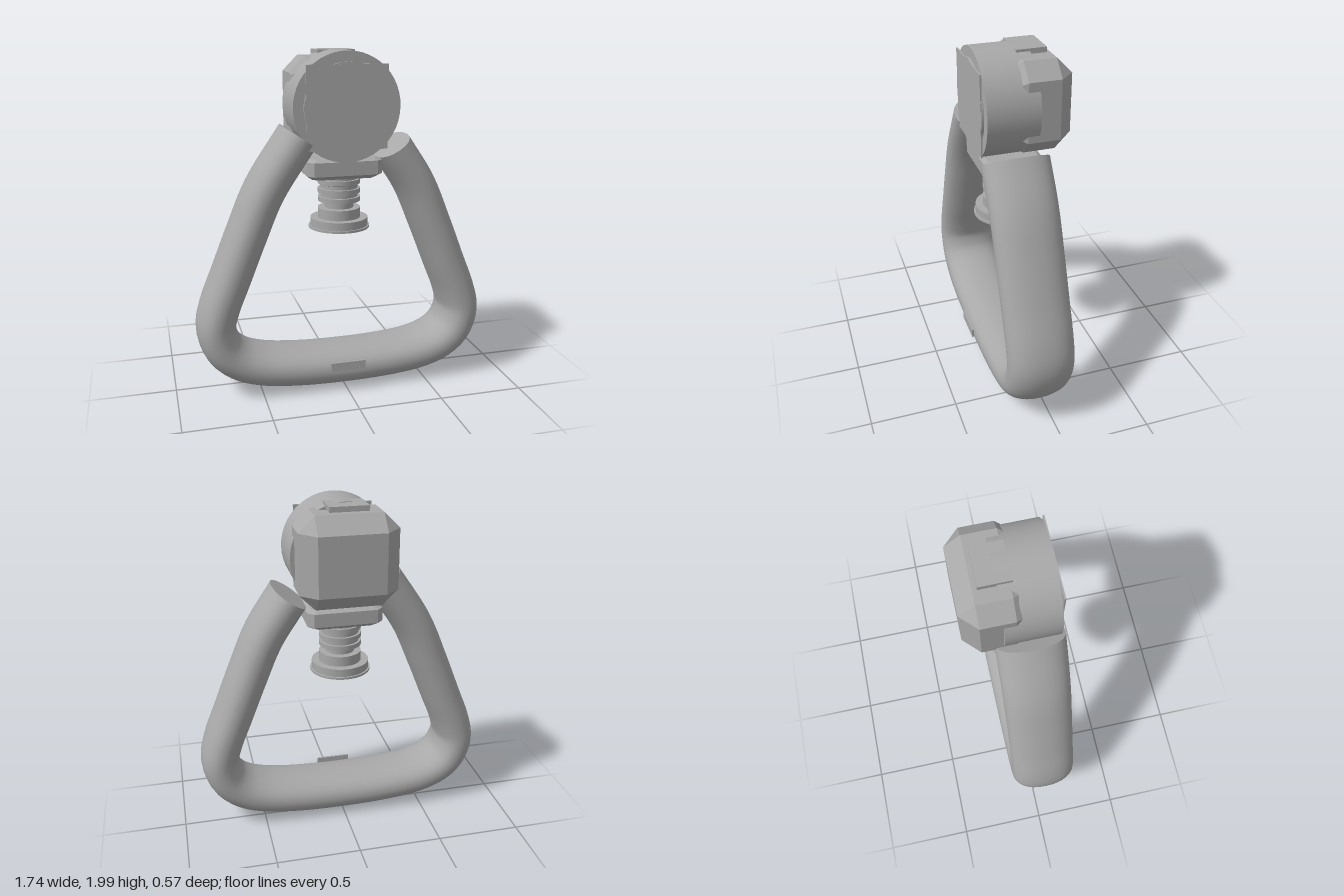
import * as THREE from 'three';
import { ConvexGeometry } from 'three/addons/geometries/ConvexGeometry.js';

const steel = new THREE.MeshStandardMaterial({ color: 0xa8a8a8 });
steel.name = 'steel grey';

function add(group, name, geometry, x = 0, y = 0, z = 0) {
  const mesh = new THREE.Mesh(geometry, steel);
  mesh.name = name;
  mesh.position.set(x, y, z);
  group.add(mesh);
  return mesh;
}

// Convex block from octagonal layers: [half width, half height, corner cut, depth]
function chamferBlock(layers) {
  const points = [];
  for (const [w, h, c, d] of layers)
    for (const sx of [-1, 1])
      for (const sy of [-1, 1]) {
        points.push(new THREE.Vector3(sx * w, sy * (h - c), d));
        if (c > 0) points.push(new THREE.Vector3(sx * (w - c), sy * h, d));
      }
  return new ConvexGeometry(points);
}

// Oval section swept along a path in the xy plane, with flat end caps
function sweepOval(curve, a, b, steps, sides) {
  const pos = [], idx = [];
  const soften = v => Math.sign(v) * Math.pow(Math.abs(v), 0.9);
  const ring = u => {
    const c = curve.getPointAt(u), t = curve.getTangentAt(u);
    for (let j = 0; j < sides; j++) {
      const ang = (j / sides) * Math.PI * 2;
      const n = a * soften(Math.cos(ang));
      pos.push(c.x + t.y * n, c.y - t.x * n, b * soften(Math.sin(ang)));
    }
    return c;
  };
  for (let i = 0; i <= steps; i++) ring(i / steps);
  for (let i = 0; i < steps; i++)
    for (let j = 0; j < sides; j++) {
      const k = (j + 1) % sides, p = i * sides, q = p + sides;
      idx.push(p + j, q + j, p + k, p + k, q + j, q + k);
    }
  for (const end of [0, 1]) {
    const base = pos.length / 3;
    const c = ring(end);
    pos.push(c.x, c.y, 0);
    for (let j = 0; j < sides; j++) {
      const k = (j + 1) % sides;
      if (end) idx.push(base + sides, base + k, base + j);
      else idx.push(base + sides, base + j, base + k);
    }
  }
  const g = new THREE.BufferGeometry();
  g.setAttribute('position', new THREE.Float32BufferAttribute(pos, 3));
  g.setIndex(idx);
  g.computeVertexNormals();
  return g;
}

export function createModel() {
  const model = new THREE.Group();
  model.name = 'swivelHandle';

  // Triangular loop handle, open at the top
  const half = [[0.45, 1.22], [0.555, 0.98], [0.655, 0.73], [0.73, 0.54], [0.755, 0.42],
    [0.715, 0.29], [0.63, 0.21], [0.5, 0.16], [0.3, 0.132]];
  const path = [[0.3, 1.45], ...half, [0, 0.122],
    ...half.slice().reverse().map(([x, y]) => [-x, y]), [-0.25, 1.525]];
  const curve = new THREE.CatmullRomCurve3(path.map(([x, y]) => new THREE.Vector3(x, y, 0)));
  add(model, 'loopHandle', sweepOval(curve, 0.116, 0.192, 110, 32), 0, 0, 0.065);

  // Small plate in front of the handle
  add(model, 'handlePlate', new THREE.BoxGeometry(0.21, 0.055, 0.012), -0.005, 0.172, 0.276);

  // Round head with a front disc and square face
  const head = new THREE.Group();
  head.name = 'head';
  head.position.y = 1.692;
  model.add(head);
  const drum = new THREE.CylinderGeometry(0.307, 0.307, 0.3, 48).rotateX(Math.PI / 2);
  add(head, 'drum', drum, 0, 0, 0.07);
  const disc = new THREE.CylinderGeometry(0.248, 0.248, 0.015, 48).rotateX(Math.PI / 2);
  add(head, 'frontDisc', disc, 0, 0, 0.227);
  add(head, 'squareFace', new THREE.BoxGeometry(0.465, 0.47, 0.009), -0.003, 0, 0.231);

  // Bevelled block behind the drum, with a latch on top
  add(head, 'rearBlock', chamferBlock([
    [0.19, 0.17, 0, -0.29], [0.28, 0.262, 0.09, -0.2],
    [0.28, 0.262, 0.09, -0.015], [0.265, 0.247, 0.09, 0.015]
  ]), 0, 0.006, 0);
  add(head, 'latch', new THREE.BoxGeometry(0.22, 0.03, 0.175), -0.005, 0.288, -0.088);

  // Swivel block below the head
  const block = chamferBlock([
    [0.185, 0.135, 0.03, -0.06], [0.22, 0.17, 0.035, -0.035],
    [0.22, 0.17, 0.035, 0.045], [0.195, 0.145, 0.03, 0.06]
  ]).rotateX(-Math.PI / 2);
  add(model, 'swivelBlock', block, 0, 1.34, 0.035);

  // Ribbed stem and stepped foot, turned around the y axis
  const profile = [[0, 0.97], [0.18, 0.97], [0.18, 0.983], [0.17, 0.983], [0.17, 1.03],
    [0.125, 1.03], [0.125, 1.09], [0.085, 1.09], [0.085, 1.13]];
  for (const y of [1.13, 1.18, 1.235])
    profile.push([0.125, y], [0.125, y + 0.028], [0.11, y + 0.028], [0.11, y + 0.05]);
  profile.push([0, 1.285]);
  // One band per profile segment keeps the steps sharp
  const stem = new THREE.Group();
  stem.name = 'stem';
  stem.position.z = 0.035;
  model.add(stem);
  for (let i = 0; i + 1 < profile.length; i++) {
    const pts = [profile[i], profile[i + 1]].map(([x, y]) => new THREE.Vector2(x, y));
    add(stem, 'stemBand' + (i + 1), new THREE.LatheGeometry(pts, 40));
  }
  return model;
}
